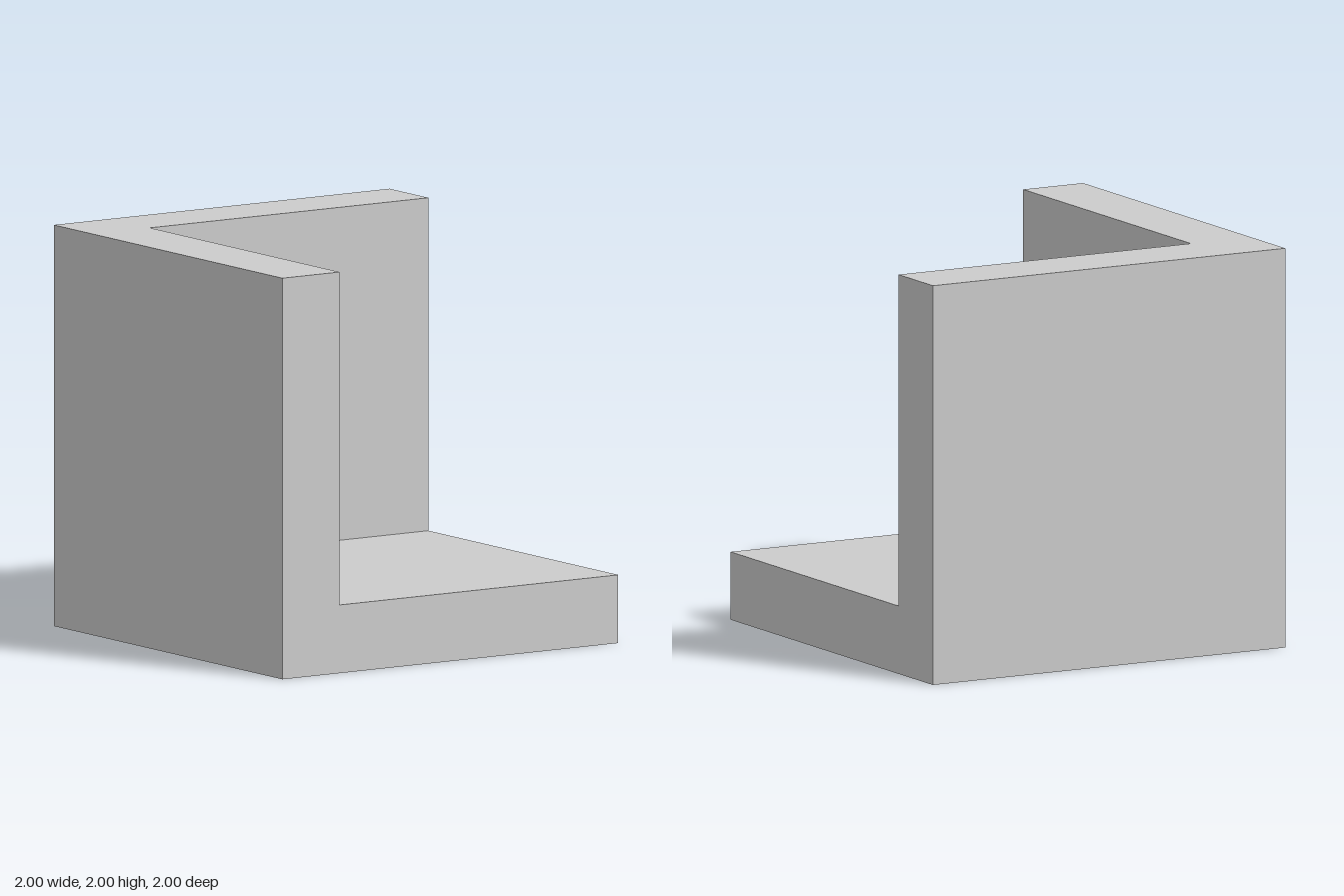
import * as THREE from 'three';
import { mergeGeometries } from 'three/addons/utils/BufferGeometryUtils.js';

const SIZE = 2;
const WALL = 0.34; // thickness of floor and both walls

// Faces across one axis, with the closed corner at the origin
function facesAcrossZ() {
  const inner = SIZE - WALL;
  const mid = WALL + inner / 2;

  // L-shaped end of the two slabs that run along the axis
  const profile = new THREE.Shape(
    [[0, 0], [SIZE, 0], [SIZE, WALL], [WALL, WALL], [WALL, SIZE], [0, SIZE]]
      .map(([x, y]) => new THREE.Vector2(x, y))
  );
  const rim = new THREE.ShapeGeometry(profile).translate(0, 0, SIZE);

  // Inner and outer faces of the slab across the axis
  const inside = new THREE.PlaneGeometry(inner, inner).translate(mid, mid, WALL);
  const outside = new THREE.PlaneGeometry(SIZE, SIZE)
    .rotateY(Math.PI)
    .translate(SIZE / 2, SIZE / 2, 0);

  return mergeGeometries([rim, inside, outside]);
}

export function createModel() {
  const group = new THREE.Group();
  group.name = 'cornerBlock';
  const material = new THREE.MeshStandardMaterial({ color: 0xcccccc, flatShading: true });

  // Cycling x -> y -> z turns the same faces to each of the three axes
  const cycle = new THREE.Matrix4().makeBasis(
    new THREE.Vector3(0, 1, 0),
    new THREE.Vector3(0, 0, 1),
    new THREE.Vector3(1, 0, 0)
  );
  const turn = new THREE.Matrix4();
  const sides = [];
  for (let i = 0; i < 3; i++) {
    sides.push(facesAcrossZ().applyMatrix4(turn));
    turn.multiply(cycle);
  }

  // Floor, back wall and side wall as one closed solid
  const geometry = mergeGeometries(sides).translate(-SIZE / 2, 0, -SIZE / 2);
  const solid = new THREE.Mesh(geometry, material);
  solid.name = 'floorAndWalls';
  group.add(solid);
  return group;
}
